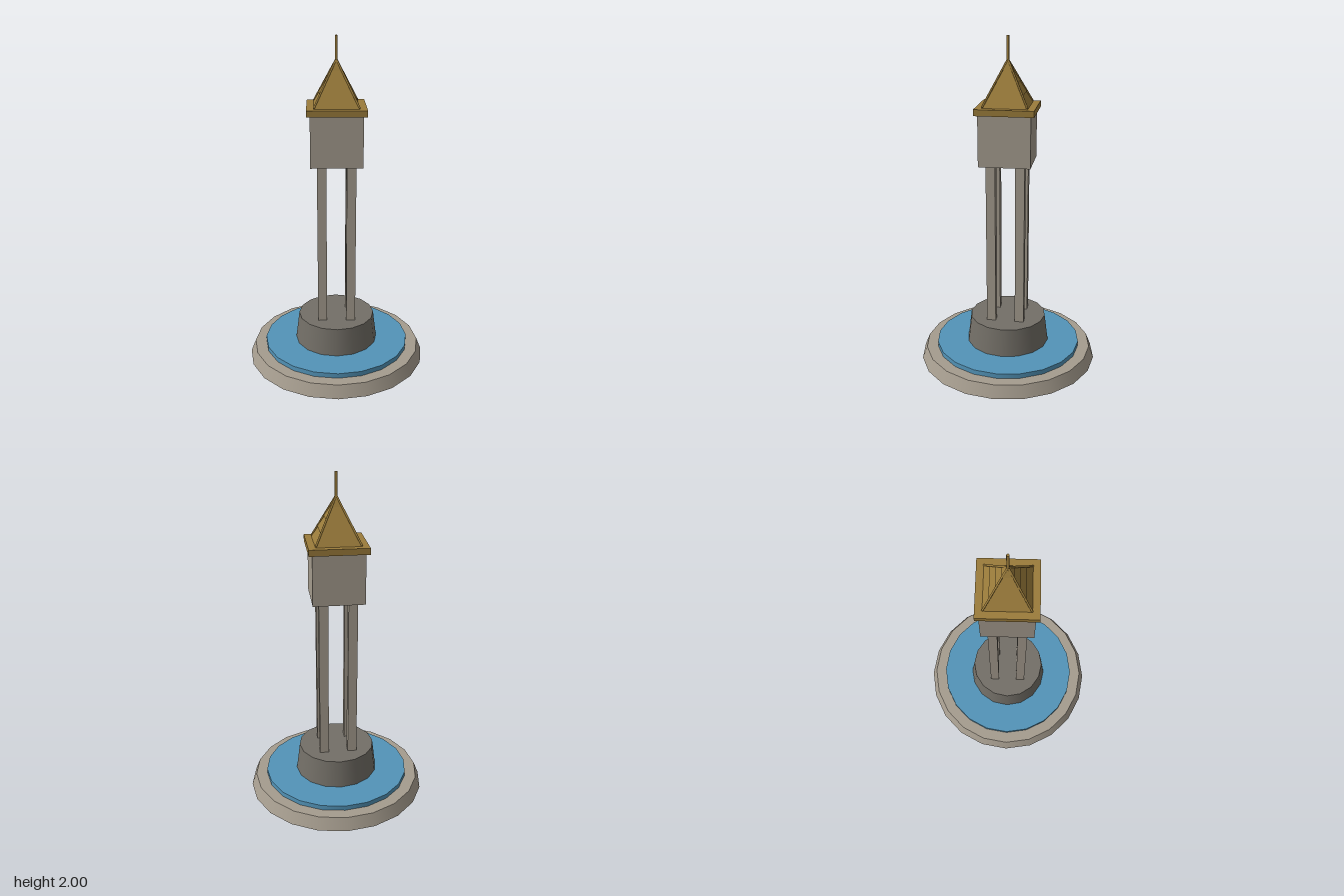
import * as THREE from 'three';

const mat = (name, color) => {
  const m = new THREE.MeshStandardMaterial({ color });
  m.name = name;
  return m;
};

export function createModel() {
  const group = new THREE.Group();
  const stone = mat('pale stone', 0xa59c8e);
  const darkStone = mat('dark stone', 0x736f67);
  const water = mat('water blue', 0x5394b8);
  const gold = mat('bronze gold', 0x9b7c3b);

  const add = (name, geometry, material, x = 0, y = 0, z = 0) => {
    const mesh = new THREE.Mesh(geometry, material);
    mesh.name = name;
    mesh.position.set(x, y, z);
    group.add(mesh);
    return mesh;
  };
  // Round drum between two heights
  const drum = (name, top, bottom, y0, y1, sides, material) =>
    add(name, new THREE.CylinderGeometry(top, bottom, y1 - y0, sides), material, 0, (y0 + y1) / 2);
  // Square box of half width h between two heights
  const block = (name, h, y0, y1, material, x = 0, z = 0) =>
    add(name, new THREE.BoxGeometry(h * 2, y1 - y0, h * 2), material, x, (y0 + y1) / 2, z);
  // Square frustum with flat faces, given half widths
  const frustum = (name, top, bottom, y0, y1, material) => {
    const g = new THREE.CylinderGeometry(top * Math.SQRT2, bottom * Math.SQRT2, y1 - y0, 4)
      .rotateY(Math.PI / 4).toNonIndexed();
    g.computeVertexNormals();
    return add(name, g, material, 0, (y0 + y1) / 2);
  };

  // Basin and pedestal
  drum('basin', 0.52, 0.55, 0, 0.075, 20, stone);
  drum('waterPool', 0.45, 0.45, 0.07, 0.105, 20, water);
  drum('pedestal', 0.235, 0.257, 0.1, 0.275, 16, darkStone);

  // Four pillars carrying the tower head
  for (const sx of [-1, 1])
    for (const sz of [-1, 1])
      block('pillar', 0.0275, 0.27, 1.275, stone, sx * 0.087, sz * 0.087);
  block('towerHead', 0.152, 1.27, 1.572, stone);
  block('eave', 0.172, 1.57, 1.607, gold);

  // Stepped pyramid roof: each course overhangs the next
  const levels = [1.605, 1.675, 1.743, 1.809, 1.87];
  const halfAt = y => 0.13 * (1.87 - y) / 0.265;
  for (let i = 0; i < 4; i++) {
    const top = Math.max(halfAt(levels[i + 1]) - 0.003, 0.004);
    frustum('roofCourse', top, halfAt(levels[i]) + 0.002, levels[i], levels[i + 1], gold);
  }

  // Ridge bars along the four hips
  const apex = new THREE.Vector3(0, 1.868, 0);
  for (const sx of [-1, 1])
    for (const sz of [-1, 1]) {
      const foot = new THREE.Vector3(sx * 0.129, 1.612, sz * 0.129);
      const dir = apex.clone().sub(foot);
      const bar = add('hipRidge', new THREE.CylinderGeometry(0.006, 0.006, dir.length(), 6), gold);
      bar.position.copy(foot).add(apex).multiplyScalar(0.5);
      bar.quaternion.setFromUnitVectors(new THREE.Vector3(0, 1, 0), dir.normalize());
    }

  // Finial
  drum('finial', 0.008, 0.008, 1.85, 2, 8, gold);
  return group;
}
